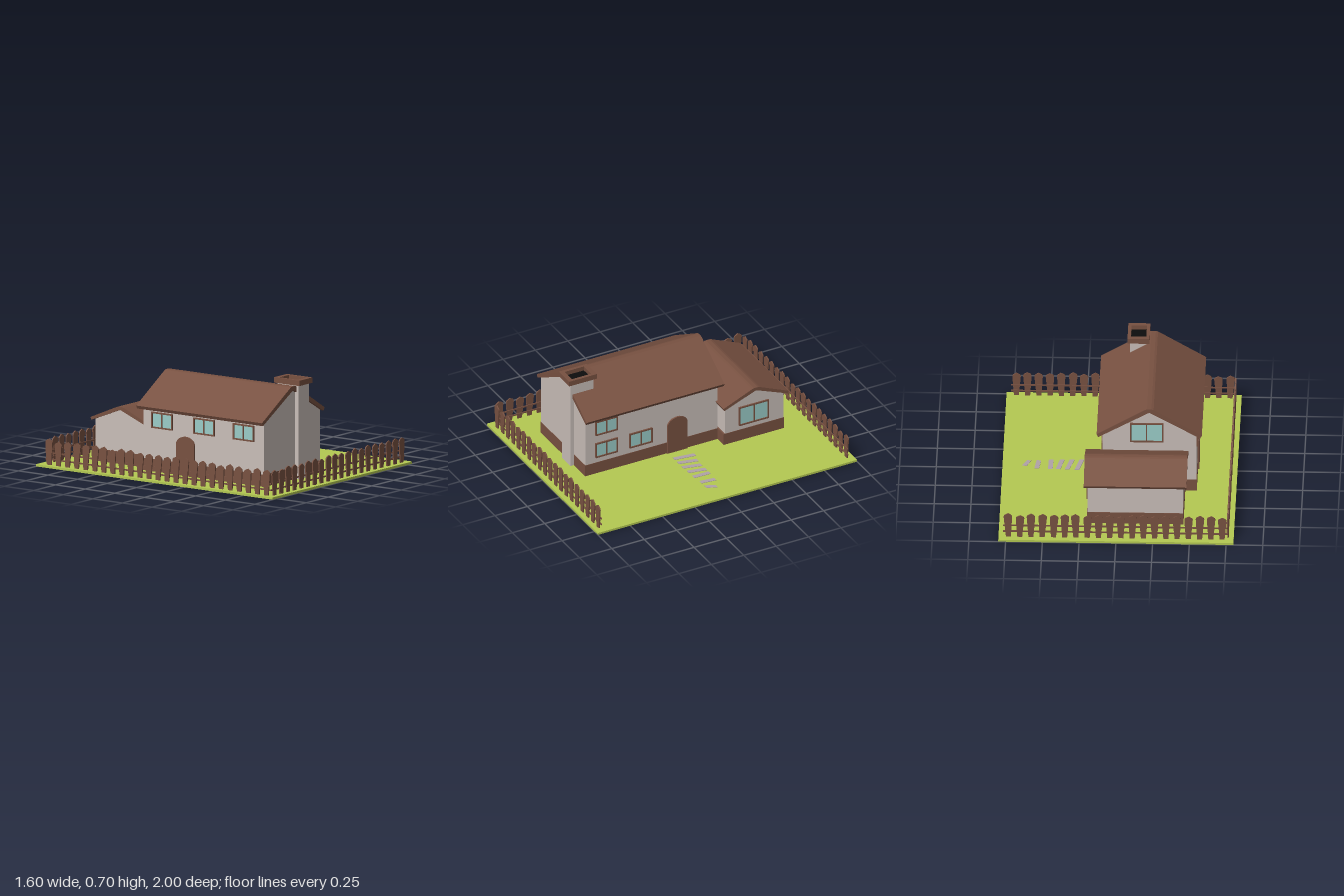
import * as THREE from 'three';

const mat = (name, color, extra = {}) => {
  const m = new THREE.MeshStandardMaterial({ color, ...extra });
  m.name = name;
  return m;
};

export function createModel() {
  const brown = mat('brown wood', 0x785141);
  const plaster = mat('plaster', 0xc9beb8);
  const grass = mat('grass', 0xb4c952);
  const glass = mat('glass', 0x9bcdc8);
  const stone = mat('path stone', 0xb0a2a8);
  const soot = mat('soot', 0x0d0d0d);

  const root = new THREE.Group();
  root.name = 'cottage';

  const add = (parent, name, geo, material) => {
    const m = new THREE.Mesh(geo, material);
    m.name = name;
    parent.add(m);
    return m;
  };
  // Box given by its minimum and maximum corners
  const box = (name, material, [x0, y0, z0], [x1, y1, z1], parent = root) => {
    const m = add(parent, name, new THREE.BoxGeometry(x1 - x0, y1 - y0, z1 - z0), material);
    m.position.set((x0 + x1) / 2, (y0 + y1) / 2, (z0 + z1) / 2);
    return m;
  };
  const poly = (pts) => new THREE.Shape(pts.map(([x, y]) => new THREE.Vector2(x, y)));
  const extrude = (shape, depth) =>
    new THREE.ExtrudeGeometry(shape, { depth, bevelEnabled: false, curveSegments: 10 });
  const rect = (w, h, cx = 0, cy = 0) => poly([
    [cx - w / 2, cy - h / 2], [cx + w / 2, cy - h / 2],
    [cx + w / 2, cy + h / 2], [cx - w / 2, cy + h / 2]]);

  // Lawn
  const G = 0.015;
  box('lawn', grass, [-0.8, 0, -1], [0.8, G, 1]);

  // Gabled wall block and its two-pitched roof, extruded along local z
  const gableWall = (half, eave, peak) =>
    poly([[-half, G], [half, G], [half, eave], [0, peak], [-half, eave]]);
  const gableRoof = (half, eave, peak, t, flat) => poly([
    [-half, eave], [-half + t * 0.5, eave - t], [0, peak - t * 1.15], [half - t * 0.5, eave - t],
    [half, eave], [flat, peak - 0.004], [flat * 0.5, peak], [-flat * 0.5, peak], [-flat, peak - 0.004]]);

  // Main house
  const ridge = -0.208;
  add(root, 'mainWalls', extrude(gableWall(0.32, 0.452, 0.635), 1.02), plaster)
    .position.set(ridge, 0, -0.292);
  add(root, 'mainRoof', extrude(gableRoof(0.358, 0.463, 0.663, 0.022, 0.03), 1.065), brown)
    .position.set(ridge, 0, -0.325);
  box('mainPlinth', brown, [-0.531, G, -0.295], [0.115, 0.1, 0.731]);

  // Side wing, ridge running along x
  const wing = new THREE.Group();
  wing.name = 'wing';
  wing.rotation.y = Math.PI / 2;
  wing.position.set(0, 0, -0.528);
  root.add(wing);
  add(wing, 'wingWalls', extrude(gableWall(0.225, 0.305, 0.4), 0.65), plaster).position.z = -0.45;
  add(wing, 'wingRoof', extrude(gableRoof(0.252, 0.317, 0.416, 0.018, 0.03), 0.7), brown)
    .position.z = -0.475;
  box('wingPlinth', brown, [-0.453, G, -0.756], [0.203, 0.1, -0.29]);

  // Chimney with a hollow cap
  box('chimneyStack', plaster, [-0.17, G, 0.58], [-0.05, 0.668, 0.757]);
  const capShape = rect(0.15, 0.215);
  capShape.holes.push(rect(0.105, 0.148));
  const cap = add(root, 'chimneyCap', extrude(capShape, 0.037), brown);
  cap.rotation.x = -Math.PI / 2;
  cap.position.set(-0.11, 0.665, 0.667);
  box('chimneyOpening', soot, [-0.163, 0.666, 0.592], [-0.057, 0.671, 0.742]);

  // Places a group on a wall: turn is the facing angle about y
  const onWall = (name, x, y, z, turn) => {
    const g = new THREE.Group();
    g.name = name;
    g.position.set(x, y, z);
    g.rotation.y = turn;
    root.add(g);
    return g;
  };
  // Two-pane window facing local +z
  const addWindow = (x, y, z, turn, w, h) => {
    const g = onWall('window', x, y, z, turn);
    const b = 0.01, pane = (w - 2 * b - 0.007) / 2;
    const frame = rect(w, h);
    for (const s of [-1, 1]) frame.holes.push(rect(pane, h - 2 * b, s * (pane + 0.007) / 2));
    add(g, 'windowFrame', extrude(frame, 0.011), brown);
    box('windowGlass', glass, [-w / 2 + 0.005, -h / 2 + 0.005, -0.001],
      [w / 2 - 0.005, h / 2 - 0.005, 0.004], g);
  };
  const E = Math.PI / 2, xl = 0.112, xr = -0.528;
  addWindow(xl, 0.373, 0.567, E, 0.172, 0.112);
  addWindow(xl, 0.198, 0.567, E, 0.172, 0.115);
  addWindow(xl, 0.198, 0.302, E, 0.177, 0.115);
  addWindow(0.2, 0.208, -0.522, E, 0.23, 0.147);
  for (const z of [-0.13, 0.225, 0.56]) addWindow(xr, 0.373, z, -E, 0.177, 0.112);
  addWindow(-0.19, 0.465, -0.292, Math.PI, 0.23, 0.147);

  // Arched doors on both long sides
  const door = new THREE.Shape();
  door.moveTo(-0.077, 0);
  door.lineTo(0.077, 0);
  door.lineTo(0.077, 0.215);
  door.bezierCurveTo(0.06, 0.28, -0.06, 0.28, -0.077, 0.215);
  for (const [x, z, turn] of [[xl, 0.022, E], [xr, 0.07, -E]]) {
    const g = onWall('door', x, G, z, turn);
    const d = add(g, 'doorLeaf', extrude(door, 0.012), brown);
    d.scale.y = 1.03;
  }

  // Stepping stones: x, centre z, length, lean
  [[0.212, 0.018, 0.155, 0.02], [0.277, 0.027, 0.135, 0.03], [0.343, 0.03, 0.13, 0.03],
    [0.408, 0.027, 0.125, 0.025], [0.472, 0.026, 0.125, 0.003], [0.56, 0.023, 0.108, 0.012],
    [0.635, 0.04, 0.07, 0.03]].forEach(([x, z, len, lean]) => {
    const w = 0.016, h = len / 2, k = lean / 2;
    const s = add(root, 'steppingStone',
      extrude(poly([[-w - k, -h], [w - k, -h], [w + k, h], [-w + k, h]]), 0.003), stone);
    s.rotation.x = -Math.PI / 2;
    s.position.set(x, G, z);
  });

  // Picket fence on three sides
  let seed = 7;
  const rand = () => (seed = (seed * 16807) % 2147483647) / 2147483647;
  const picketGeo = extrude(poly([[-0.017, 0], [0.017, 0], [0.029, 0.158], [0.024, 0.168],
    [0.002, 0.183], [-0.024, 0.17], [-0.029, 0.158]]), 0.009);
  const addFence = (name, x, z, turn, length, count) => {
    const g = onWall(name, x, G, z, turn);
    for (const y of [0.038, 0.083])
      box('fenceRail', brown, [-length / 2, y - 0.005, -0.006], [length / 2, y + 0.005, 0.001], g);
    for (let i = 0; i < count; i++) {
      const p = add(g, 'picket', picketGeo, brown);
      p.position.x = ((i + 0.5) / count - 0.5) * length;
      p.scale.y = i % 3 === 1 ? 0.9 + rand() * 0.05 : 0.95 + rand() * 0.05;
      p.rotation.z = (rand() - 0.5) * 0.07;
    }
  };
  addFence('frontFence', 0.005, 0.957, 0, 1.53, 20);
  addFence('backFence', 0.005, -0.947, Math.PI, 1.53, 20);
  addFence('sideFence', -0.757, 0.005, -E, 1.91, 25);

  return root;
}
